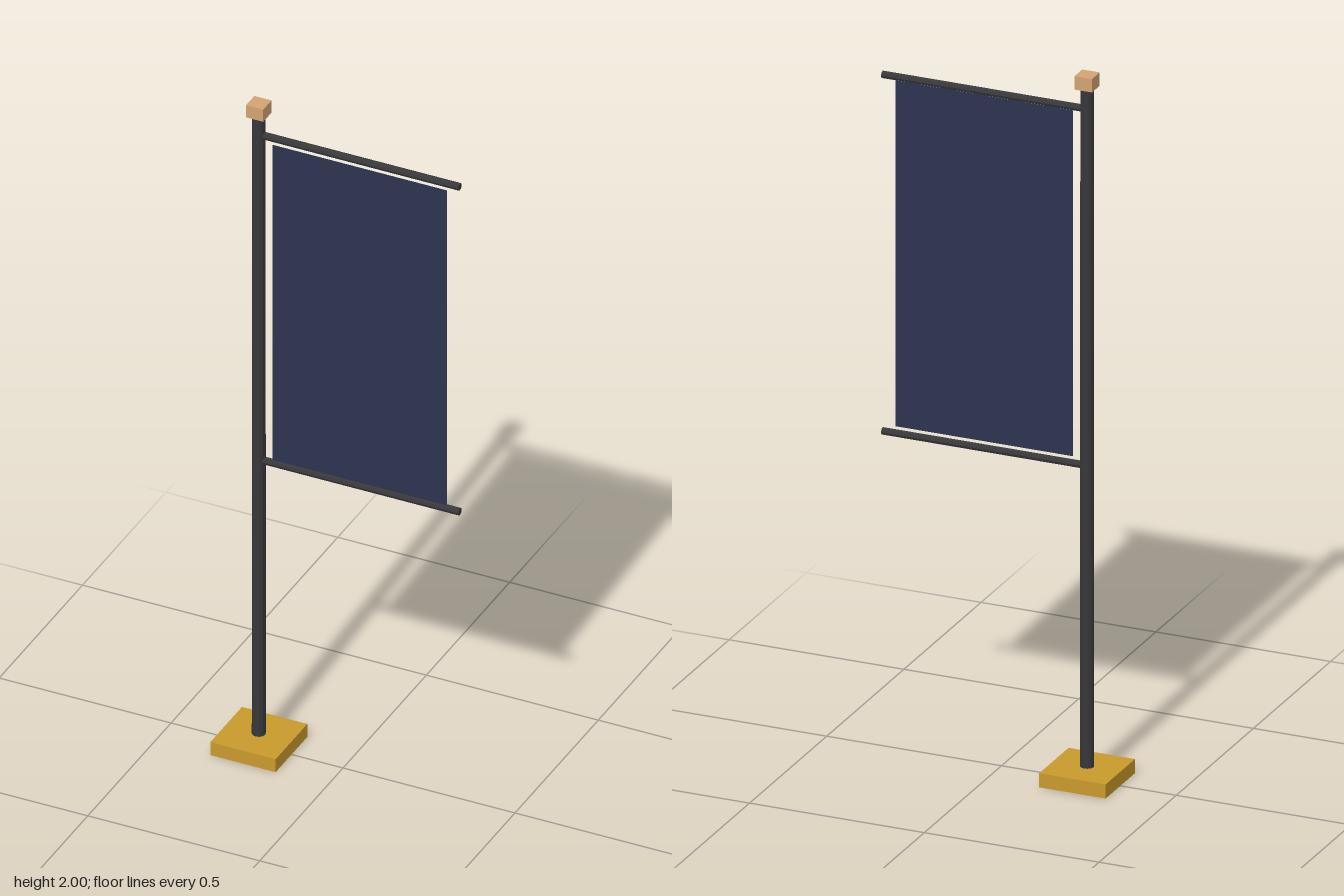
import * as THREE from 'three';

export function createModel() {
  const group = new THREE.Group();
  const metal = new THREE.MeshStandardMaterial({ color: 0x38383b, flatShading: true });
  const gold = new THREE.MeshStandardMaterial({ color: 0xc99a2c });
  const tan = new THREE.MeshStandardMaterial({ color: 0xd4a373 });
  const cloth = new THREE.MeshStandardMaterial({ color: 0x2c3450, side: THREE.DoubleSide });

  const add = (name, geometry, material, x, y, z = 0) => {
    const mesh = new THREE.Mesh(geometry, material);
    mesh.name = name;
    mesh.position.set(x, y, z);
    group.add(mesh);
    return mesh;
  };

  const poleX = -0.245;
  const rodEnd = 0.34;
  const rodLength = rodEnd - poleX;

  // Square foot, upright pole and block cap
  add('base', new THREE.BoxGeometry(0.19, 0.04, 0.19), gold, poleX, 0.02);
  add('pole', new THREE.CylinderGeometry(0.018, 0.0185, 1.97, 12), metal, poleX, 0.985);
  add('cap', new THREE.BoxGeometry(0.05, 0.038, 0.05), tan, poleX, 1.981);

  // Two horizontal rods holding the banner
  for (const [name, y] of [['topRod', 1.902], ['bottomRod', 0.892]]) {
    const rod = add(name, new THREE.CylinderGeometry(0.0105, 0.0105, rodLength, 8), metal, poleX + rodLength / 2, y);
    rod.rotation.z = Math.PI / 2;
  }

  // Flat cloth banner, just in front of the rod centres
  add('banner', new THREE.PlaneGeometry(0.508, 0.98), cloth, 0.053, 1.397, 0.009);

  return group;
}
